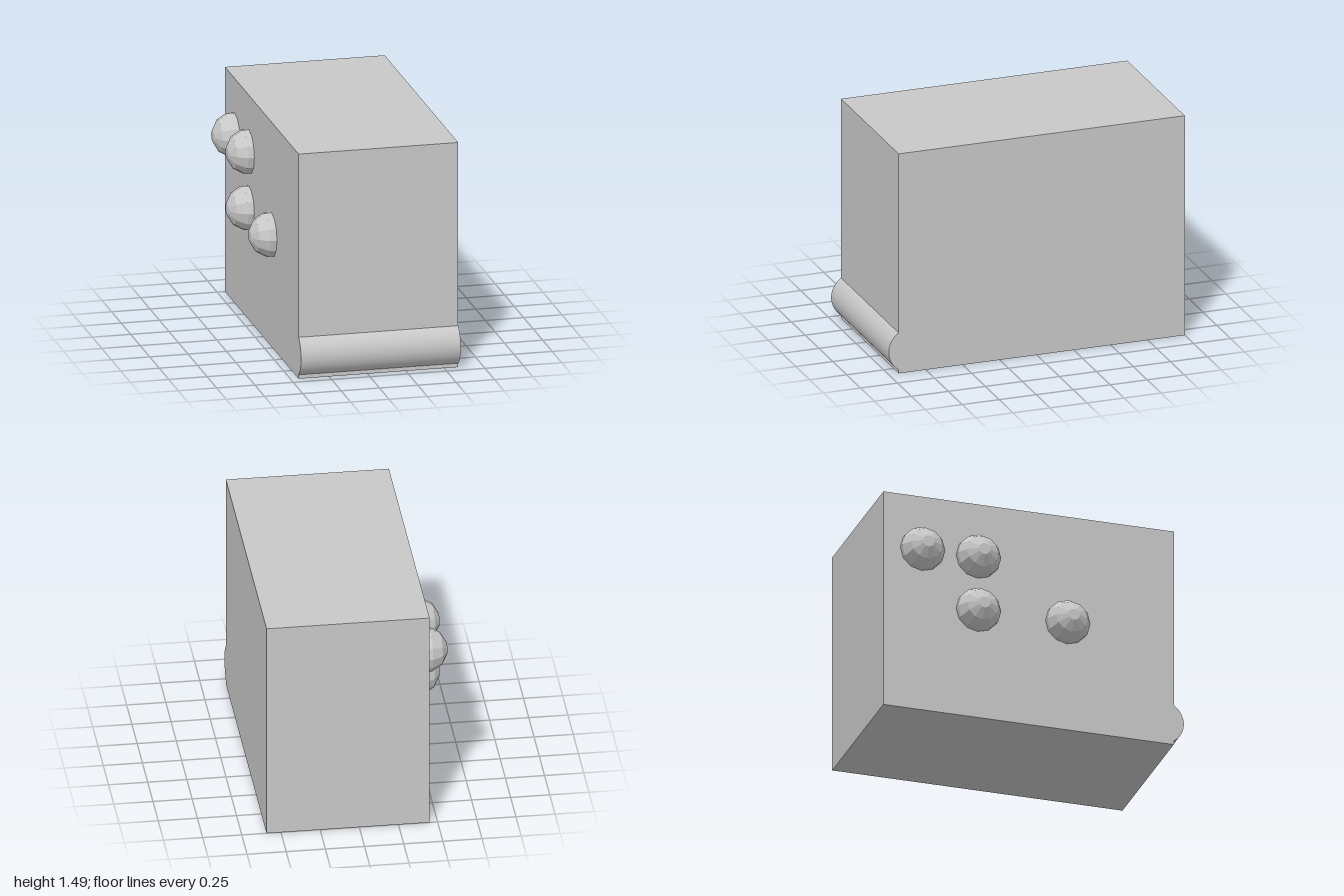
import * as THREE from 'three';
import { toCreasedNormals } from 'three/addons/utils/BufferGeometryUtils.js';

const U = 0.1487;                       // base module: the block is 7 x 10 x 13 of these
const W = 7 * U, H = 10 * U, D = 13 * U;
const LEFT = -0.449, BACK = -1;

export function createModel() {
  const model = new THREE.Group();
  const grey = new THREE.MeshStandardMaterial({ color: 0xc8c8c8 });
  grey.name = 'plain grey';
  const greyFaceted = grey.clone();
  greyFaceted.flatShading = true;

  const add = (name, geometry, material) => {
    const mesh = new THREE.Mesh(geometry, material);
    mesh.name = name;
    model.add(mesh);
    return mesh;
  };

  // Main block
  add('block', new THREE.BoxGeometry(W, H, D), grey)
    .position.set(LEFT + W / 2, H / 2, BACK + D / 2);

  // Rounded bar along the lower front edge: a circle segment run across the width
  const centreZ = 1 - U, centreY = 0.15;
  const half = Math.acos((BACK + D - centreZ) / U);
  const segment = new THREE.Shape();
  segment.absarc(centreZ, centreY, U, -half, half, false);
  segment.closePath();
  let bar = new THREE.ExtrudeGeometry(segment, { depth: W, bevelEnabled: false, curveSegments: 32 });
  bar.rotateY(-Math.PI / 2);
  bar.translate(LEFT + W, 0, 0);
  bar = toCreasedNormals(bar, 0.5);
  add('frontBar', bar, grey);

  // Four faceted half-round knobs on the side
  const profile = [new THREE.Vector2(U * Math.sin(Math.PI * 5 / 12), 0)];
  for (const degrees of [75, 45, 15]) {
    const a = THREE.MathUtils.degToRad(degrees);
    profile.push(new THREE.Vector2(U * Math.sin(a), U * Math.cos(a)));
  }
  profile.push(new THREE.Vector2(0, U * Math.cos(Math.PI / 12)));
  const knob = new THREE.LatheGeometry(profile, 12);
  knob.rotateZ(Math.PI / 2);
  for (const [y, z] of [[7.5, 1.72], [7.5, 4.22], [5, 4.22], [5, 8.22]]) {
    add('sideKnob', knob, greyFaceted).position.set(LEFT, y * U, BACK + z * U);
  }

  return model;
}
